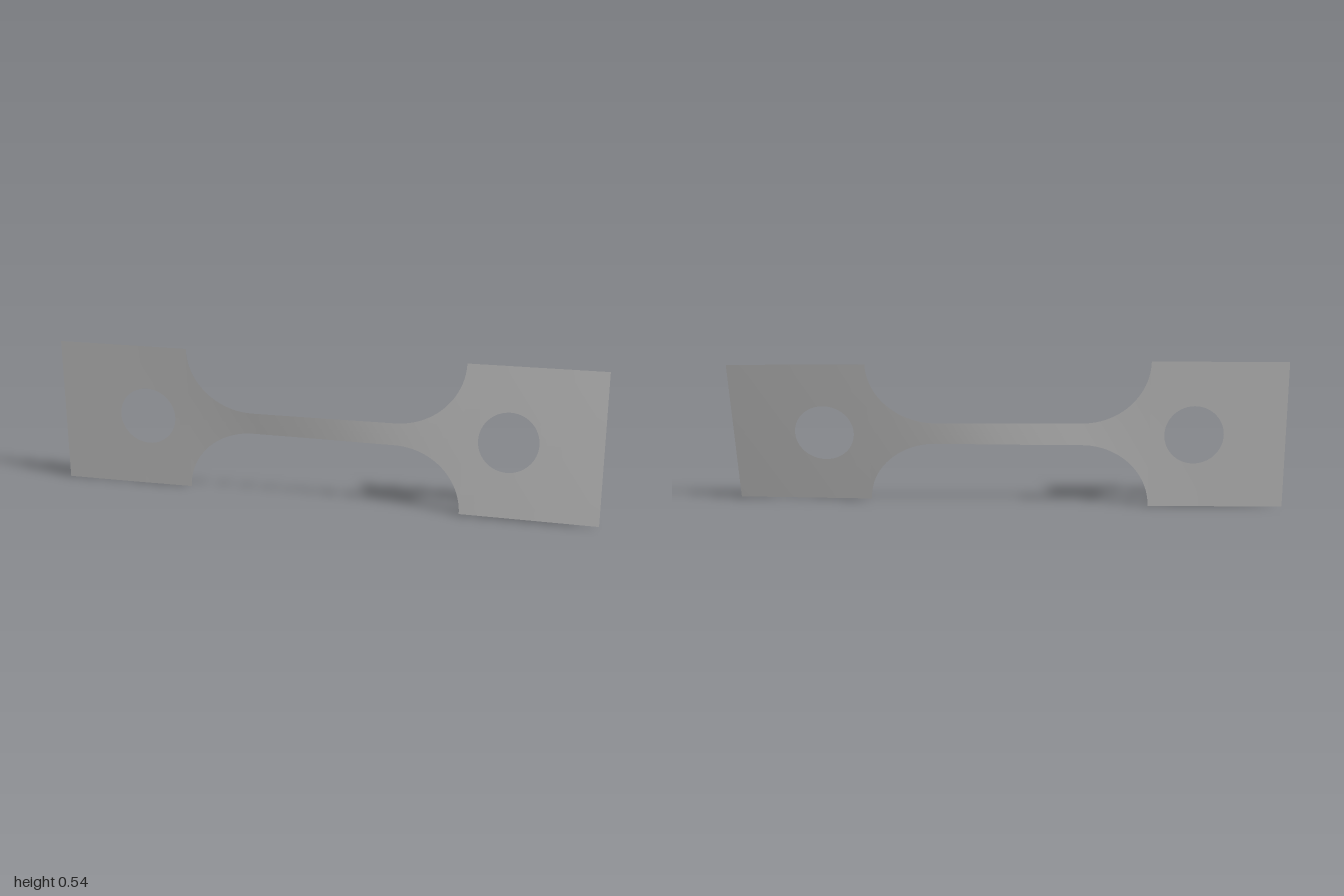
import * as THREE from 'three';

const MID_Y = 0.271, END_HALF = 0.27, NECK_HALF = 0.04;
const HOLE_X = 0.67, HOLE_R = 0.107;
const FILLET_IN = 0.265, FILLET_OUT = 0.51;

// Twist about the long axis: [x, angle]
const TWIST = [
  [-1, -0.01], [-0.7, -0.013], [-0.51, -0.022], [-0.4, -0.04], [-0.25, -0.075], [-0.1, -0.05],
  [0.05, 0], [0.2, 0.09], [0.3, 0.135], [0.4, 0.162], [0.51, 0.176], [1, 0.212],
];

function twistAt(x) {
  let i = 0;
  while (i < TWIST.length - 2 && x > TWIST[i + 1][0]) i++;
  const [x0, a0] = TWIST[i], [x1, a1] = TWIST[i + 1];
  return THREE.MathUtils.lerp(a0, a1, (x - x0) / (x1 - x0));
}

// Half height of the outline: wide grip, quarter-ellipse fillet, slim neck
function outline(x) {
  const ax = Math.abs(x);
  if (ax >= FILLET_OUT) return END_HALF;
  if (ax <= FILLET_IN) return NECK_HALF;
  const t = (ax - FILLET_IN) / (FILLET_OUT - FILLET_IN);
  return END_HALF - (END_HALF - NECK_HALF) * Math.sqrt(Math.max(0, 1 - t * t));
}

// Half height of the round hole
function hole(x) {
  const d = Math.abs(x) - HOLE_X;
  return Math.sqrt(Math.max(0, HOLE_R * HOLE_R - d * d));
}

// Columns of one half, spaced by angle around the fillet and hole
function halfColumns() {
  const xs = [];
  for (let i = 0; i < 12; i++) xs.push(FILLET_IN * i / 12);
  for (let i = 0; i <= 24; i++) {
    xs.push(FILLET_IN + (FILLET_OUT - FILLET_IN) * Math.sin(i / 24 * Math.PI / 2));
  }
  for (let i = 0; i <= 32; i++) xs.push(HOLE_X - HOLE_R * Math.cos(i / 32 * Math.PI));
  for (let i = 1; i <= 6; i++) xs.push(THREE.MathUtils.lerp(HOLE_X + HOLE_R, 1, i / 6));
  return xs;
}

// Twisted sheet made of a strip above and a strip below the centre line
function sheetGeometry() {
  const half = halfColumns();
  const xs = [...half.slice(1).reverse().map((x) => -x), ...half];
  const rows = 6, positions = [], indices = [];
  for (const side of [-1, 1]) {
    const base = positions.length / 3;
    xs.forEach((x, i) => {
      const a = twistAt(x), inner = hole(x), outer = outline(x);
      for (let j = 0; j <= rows; j++) {
        const t = side > 0 ? j / rows : 1 - j / rows;
        const v = side * THREE.MathUtils.lerp(inner, outer, t);
        positions.push(x, MID_Y + v * Math.cos(a), -v * Math.sin(a));
        if (i < xs.length - 1 && j < rows) {
          const p = base + i * (rows + 1) + j, q = p + rows + 1;
          indices.push(p, q, q + 1, p, q + 1, p + 1);
        }
      }
    });
  }
  const geo = new THREE.BufferGeometry();
  geo.setAttribute('position', new THREE.Float32BufferAttribute(positions, 3));
  geo.setIndex(indices);
  geo.computeVertexNormals();
  return geo;
}

export function createModel() {
  const group = new THREE.Group();
  group.name = 'twistedTestStrip';
  const metal = new THREE.MeshStandardMaterial({ color: 0xb8b8b8, side: THREE.DoubleSide });
  metal.name = 'grey metal';
  const sheet = new THREE.Mesh(sheetGeometry(), metal);
  sheet.name = 'sheet';
  group.add(sheet);
  return group;
}
